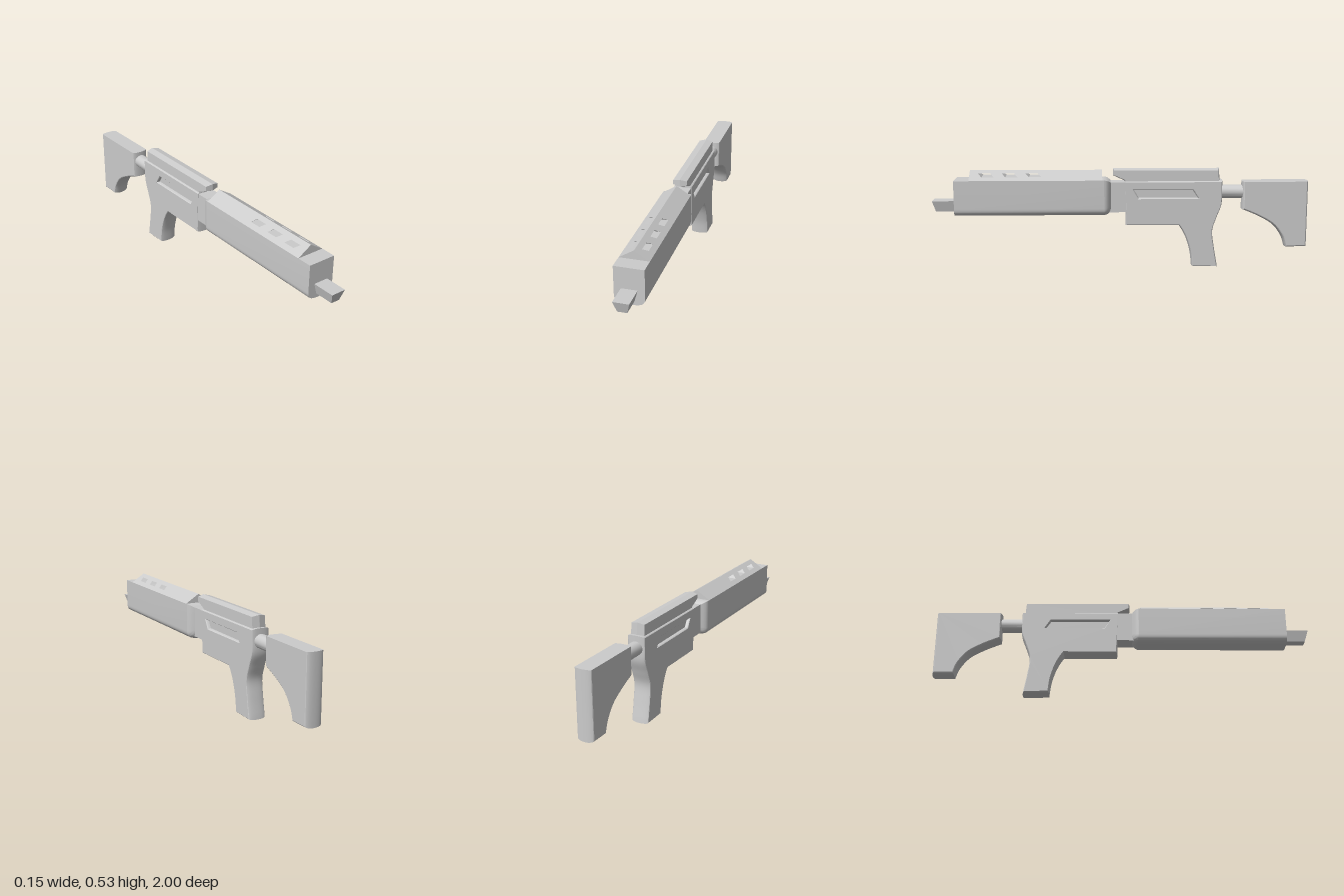
import * as THREE from 'three';
import { toCreasedNormals } from 'three/addons/utils/BufferGeometryUtils.js';

const V = (x, y) => new THREE.Vector2(x, y);

// Move every vertex of a geometry by a rule
function warp(geo, rule) {
  const p = geo.attributes.position;
  const v = new THREE.Vector3();
  for (let i = 0; i < p.count; i++) {
    rule(v.fromBufferAttribute(p, i));
    p.setXYZ(i, v.x, v.y, v.z);
  }
  geo.computeVertexNormals();
  return geo;
}

// Side profile (z, y) extruded across x; edges swell by `bulge` towards the middle
function sideExtrude(shape, halfWidth, bulge, segments) {
  const geo = new THREE.ExtrudeGeometry(shape, {
    depth: 0.002, curveSegments: 5, bevelEnabled: bulge > 0,
    bevelThickness: halfWidth - 0.001, bevelSize: bulge, bevelSegments: segments,
  });
  geo.translate(0, 0, -0.001);
  return geo.rotateY(-Math.PI / 2);
}

// Cross-section (x, y) extruded from z0 to z1
function endExtrude(shape, z0, z1, steps = 1) {
  const geo = new THREE.ExtrudeGeometry(shape, {
    depth: z1 - z0, steps, curveSegments: 10, bevelEnabled: false,
  });
  return geo.translate(0, 0, z0);
}

export function createModel() {
  const model = new THREE.Group();
  const material = new THREE.MeshStandardMaterial({ color: 0xcccccc });
  const add = (name, geo, crease = 0.5) => {
    const mesh = new THREE.Mesh(toCreasedNormals(geo, crease), material);
    mesh.name = name;
    model.add(mesh);
    return mesh;
  };
  const addBox = (name, halfX, y0, y1, z0, z1) => add(name,
    new THREE.BoxGeometry(2 * halfX, y1 - y0, z1 - z0).translate(0, (y0 + y1) / 2, (z0 + z1) / 2));

  // Fore-end: flat sides with a rounded belly
  const section = new THREE.Shape();
  section.moveTo(-0.075, 0.48);
  section.lineTo(-0.075, 0.33);
  section.bezierCurveTo(-0.075, 0.298, -0.058, 0.287, 0, 0.287);
  section.bezierCurveTo(0.058, 0.287, 0.075, 0.298, 0.075, 0.33);
  section.lineTo(0.075, 0.48);
  add('foreEnd', endExtrude(section, 0.09, 0.88));

  // Collar narrowing from the fore-end to the neck
  add('foreEndCollar', warp(endExtrude(section, 0.055, 0.09, 4), (v) => {
    const t = (0.09 - v.z) / 0.035;
    const s = t * t;
    v.x *= 1 - 0.38 * s;
    v.y = 0.39 + (v.y - 0.39) * (1 - 0.17 * s);
  }));
  addBox('neck', 0.045, 0.305, 0.465, -0.04, 0.085);

  // Vented roof: a slab with slots, pinched to a ridge
  const roof = new THREE.Shape([V(0.10, 0.48), V(0.80, 0.48), V(0.80, 0.527), V(0.10, 0.527)]);
  for (const z of [0.42, 0.545, 0.67]) {
    roof.holes.push(new THREE.Path([
      V(z, 0.496), V(z + 0.02, 0.512), V(z + 0.085, 0.512), V(z + 0.065, 0.496),
    ]));
  }
  add('ventedRoof', warp(sideExtrude(roof, 0.075, 0, 1), (v) => {
    v.x = Math.sign(v.x) * 0.075 * (0.527 - v.y) / 0.047;
  }), 0.2);

  // Muzzle: trapezoid with a raked front
  const muzzle = new THREE.Shape([V(-0.024, 0.31), V(0.024, 0.31), V(0.04, 0.368), V(-0.04, 0.368)]);
  add('muzzle', warp(endExtrude(muzzle, 0.87, 1), (v) => {
    if (v.z > 0.95 && v.y < 0.33) v.z = 0.983;
  }), 0.2);

  // Receiver and grip in one profile, with a slanted side window
  const body = new THREE.Shape();
  body.moveTo(-0.022, 0.465);
  body.lineTo(-0.032, 0.238);
  body.lineTo(-0.312, 0.238);
  body.splineThru([V(-0.337, 0.2), V(-0.36, 0.15), V(-0.38, 0.08), V(-0.388, 0.012)]);
  body.lineTo(-0.511, 0.008);
  body.splineThru([V(-0.493, 0.11), V(-0.483, 0.2), V(-0.505, 0.275), V(-0.53, 0.345), V(-0.532, 0.42)]);
  body.lineTo(-0.532, 0.465);
  body.holes.push(new THREE.Path([V(-0.06, 0.427), V(-0.385, 0.427), V(-0.417, 0.375), V(-0.09, 0.375)]));
  add('receiverAndGrip', warp(sideExtrude(body, 0.047, 0.008, 5), (v) => {
    v.z = Math.min(v.z, -0.022);
  }));
  addBox('windowFloor', 0.03, 0.365, 0.437, -0.425, -0.05);

  // Top rail with a ridged top and undercut nose
  const rail = new THREE.Shape([
    V(0.035, 0.527), V(0.035, 0.503), V(-0.025, 0.475), V(-0.025, 0.455), V(-0.52, 0.455), V(-0.515, 0.527),
  ]);
  add('topRail', sideExtrude(rail, 0.037, 0.008, 1), 0.1);

  // Stock tube
  const tube = new THREE.CylinderGeometry(0.036, 0.036, 0.15, 24);
  add('stockTube', tube.rotateX(Math.PI / 2).translate(0, 0.408, -0.59));

  // Shoulder stock: flat top, rounded rear and underside
  const stock = new THREE.Shape();
  stock.moveTo(-0.658, 0.465);
  stock.lineTo(-0.658, 0.322);
  stock.splineThru([V(-0.74, 0.287), V(-0.82, 0.24), V(-0.872, 0.175), V(-0.893, 0.119)]);
  stock.lineTo(-0.988, 0.119);
  stock.lineTo(-0.988, 0.465);
  add('shoulderStock', warp(sideExtrude(stock, 0.045, 0.012, 5), (v) => {
    v.y = Math.min(v.y, 0.465);
  }));

  return model;
}
